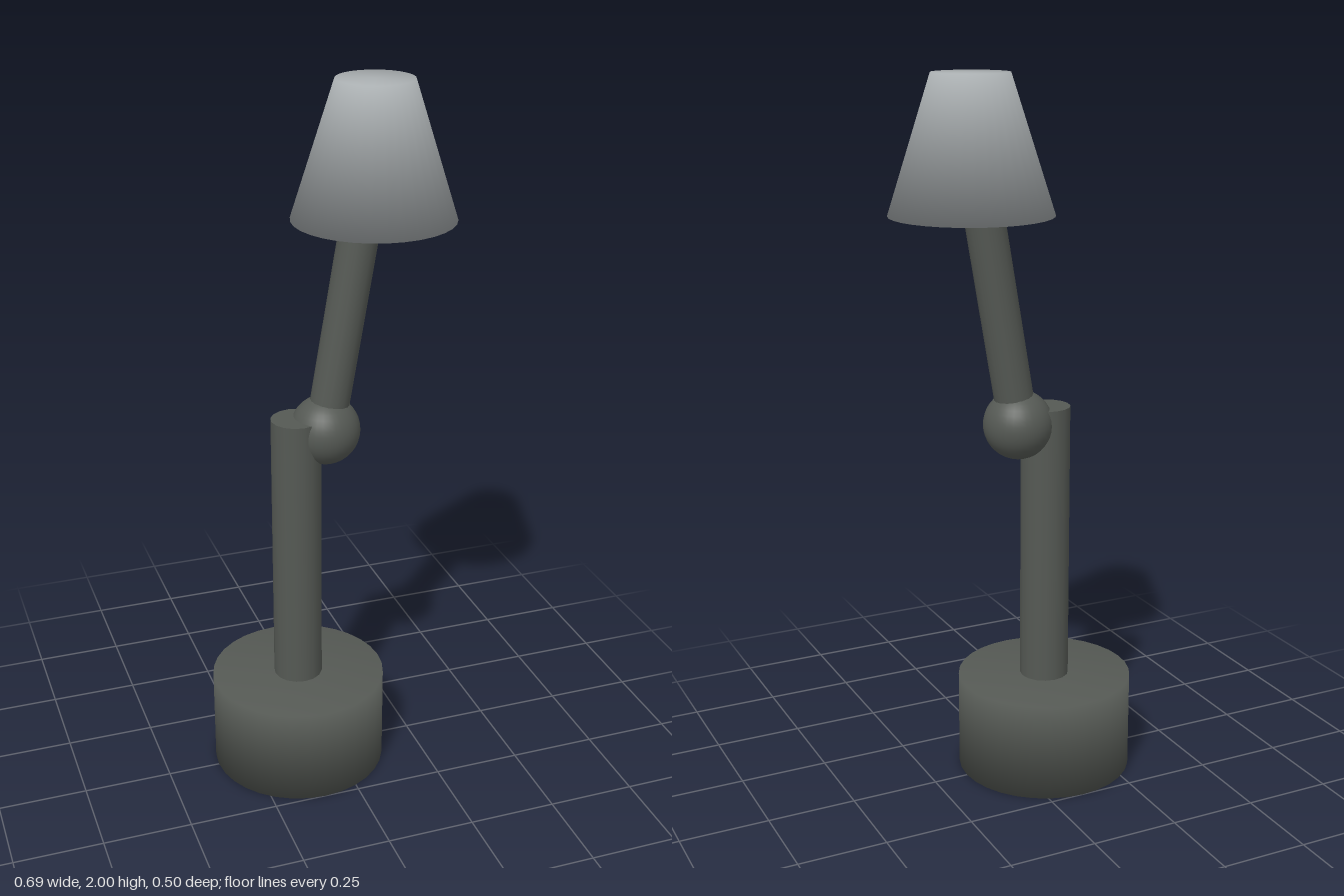
import * as THREE from 'three';

const darkMetal = new THREE.MeshStandardMaterial({ color: 0x555954 });
darkMetal.name = 'dark metal';
const paleShade = new THREE.MeshStandardMaterial({ color: 0xa9aeb0 });
paleShade.name = 'pale shade';

function addPart(group, name, geometry, material, x, y, z = 0) {
  const mesh = new THREE.Mesh(geometry, material);
  mesh.name = name;
  mesh.position.set(x, y, z);
  group.add(mesh);
  return mesh;
}

// Solid drum whose rim normals blend cap and side; tilt is the outward share at each end.
function softDrum(rTop, rBottom, height, sides, tiltTop, tiltBottom) {
  const geometry = new THREE.CylinderGeometry(rTop, rBottom, height, sides);
  const p = geometry.attributes.position;
  const n = new THREE.Vector3();
  for (let i = 0; i < p.count; i++) {
    const top = p.getY(i) > 0;
    n.set(p.getX(i), 0, p.getZ(i)).normalize().multiplyScalar(top ? tiltTop : tiltBottom);
    n.y = top ? 1 : -1;
    n.normalize();
    geometry.attributes.normal.setXYZ(i, n.x, n.y, n.z);
  }
  return geometry;
}

export function createModel() {
  const lamp = new THREE.Group();
  lamp.name = 'deskLamp';

  // Heavy round foot and upright column
  addPart(lamp, 'base', softDrum(0.25, 0.25, 0.28, 32, 0.2, 0.2), darkMetal, -0.1, 0.14);
  addPart(lamp, 'column', new THREE.CylinderGeometry(0.07, 0.07, 0.825, 16), darkMetal, -0.1, 0.6725);

  // Ball joint set into the side of the column top
  const joint = new THREE.Vector3(-0.015, 1.042, 0);
  addPart(lamp, 'ballJoint', new THREE.SphereGeometry(0.098, 32, 20), darkMetal, joint.x, joint.y);

  // Leaning arm from the joint up into the shade
  const armTop = new THREE.Vector3(0.095, 1.68, 0);
  const along = armTop.clone().sub(joint);
  const arm = addPart(lamp, 'arm', new THREE.CylinderGeometry(0.055, 0.055, along.length(), 16),
    darkMetal, (joint.x + armTop.x) / 2, (joint.y + armTop.y) / 2);
  arm.quaternion.setFromUnitVectors(new THREE.Vector3(0, 1, 0), along.normalize());

  // Closed tapered shade
  addPart(lamp, 'shade', softDrum(0.105, 0.223, 0.37, 32, 0.5, 0.3), paleShade, 0.122, 1.815);

  return lamp;
}
